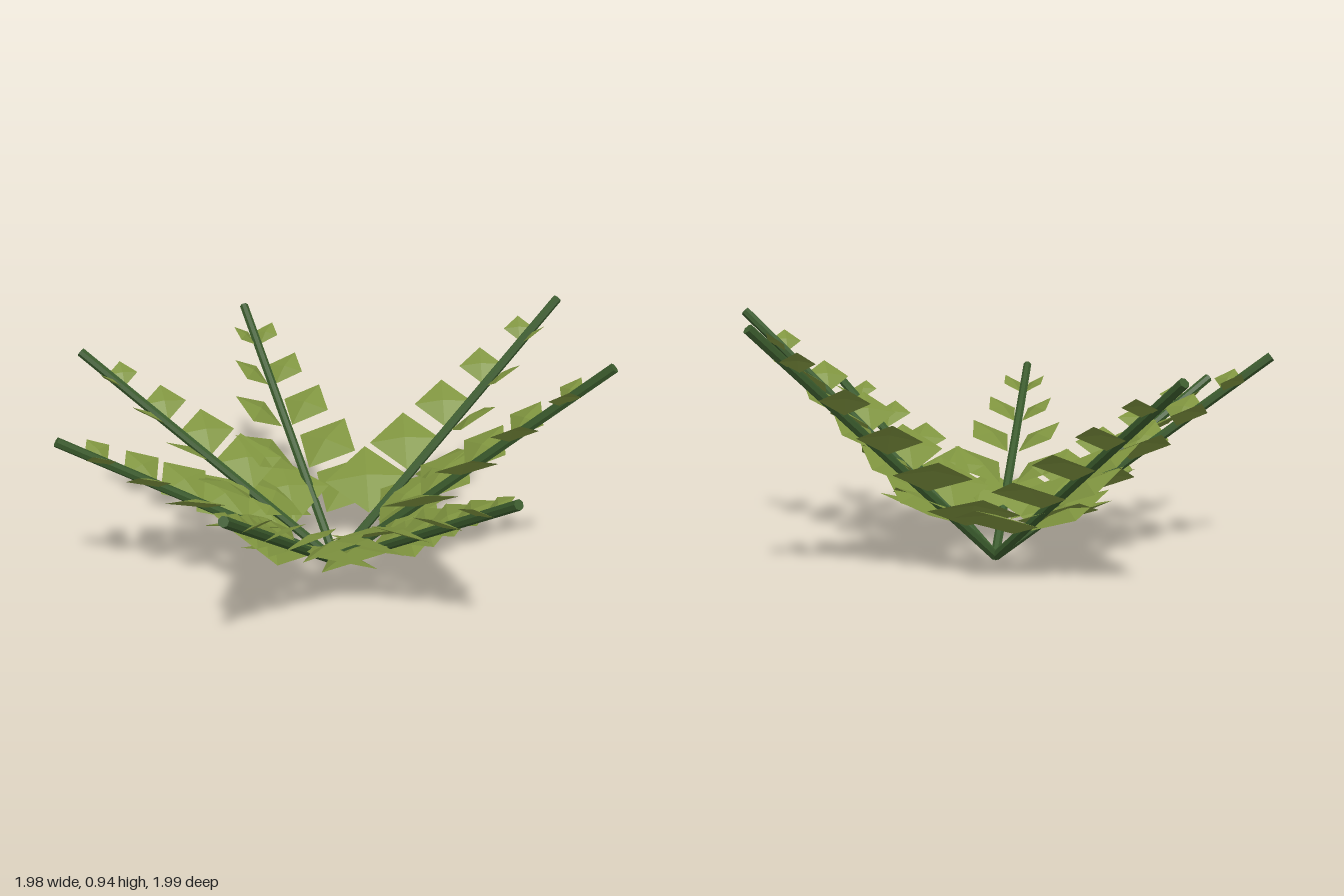
import * as THREE from 'three';

const BASE = new THREE.Vector3(-0.015, 0.015, -0.005);
const STEM_RADIUS = 0.018;
const LEAF_PAIRS = 5;
const LEAF_TILT = 0.55;

// Tip of each frond
const TIPS = [
  [0.16, 0.78, -0.985], [0.98, 0.925, 0.08], [0.515, 0.925, 0.83], [-0.015, 0.635, 0.985],
  [-0.805, 0.635, 0.595], [-0.98, 0.635, -0.268], [-0.685, 0.78, -0.745],
];

// Folded four-sided leaf: base, outer corner, tip, inner corner around a raised centre
function leafGeometry(base, along, across, normal, half) {
  const at = (a, c, n) => base.clone()
    .addScaledVector(along, a * half).addScaledVector(across, c * half).addScaledVector(normal, n * half);
  const rim = [at(0, 0, 0), at(1, 1, 0), at(2, 0, 0), at(1, -1, 0)];
  const centre = at(1, 0, 0.17);
  const points = [];
  rim.forEach((p, i) => points.push(centre, p, rim[(i + 1) % 4]));
  const geometry = new THREE.BufferGeometry().setFromPoints(points);
  geometry.computeVertexNormals();
  return geometry;
}

export function createModel() {
  const stemMaterial = new THREE.MeshStandardMaterial({ color: 0x3a5a2c, flatShading: true });
  stemMaterial.name = 'stem green';
  const leafMaterial = new THREE.MeshStandardMaterial({ color: 0x7f943f, flatShading: true, side: THREE.DoubleSide });
  leafMaterial.name = 'leaf green';

  const model = new THREE.Group();
  model.name = 'fern';

  TIPS.forEach((t) => {
    const frond = new THREE.Group();
    frond.name = 'frond';
    const tip = new THREE.Vector3(...t);
    const u = tip.clone().sub(BASE);
    const length = u.length();
    u.normalize();
    const side = new THREE.Vector3().crossVectors(u, new THREE.Vector3(0, 1, 0)).normalize();
    const up = new THREE.Vector3().crossVectors(side, u);

    // Straight stem
    const stem = new THREE.Mesh(new THREE.CylinderGeometry(STEM_RADIUS, STEM_RADIUS, length, 7), stemMaterial);
    stem.name = 'stem';
    stem.position.copy(BASE).lerp(tip, 0.5);
    stem.quaternion.setFromUnitVectors(new THREE.Vector3(0, 1, 0), u);
    frond.add(stem);

    // Mirrored leaf pairs: smaller, steeper and more raised toward the tip
    for (let i = 1; i <= LEAF_PAIRS; i++) {
      const k = i / (LEAF_PAIRS + 1);
      const size = 0.275 - 0.232 * k;
      const angle = 0.95 - 0.27 * k;
      const lift = 0.06 + 0.22 * k;
      for (const sign of [1, -1]) {
        const s = side.clone().multiplyScalar(sign);
        const along = u.clone().multiplyScalar(Math.cos(angle)).addScaledVector(s, Math.sin(angle))
          .addScaledVector(up, lift).normalize();
        // Outer edge turned up around the leaf's own midline
        const across = s.clone().multiplyScalar(Math.cos(angle)).addScaledVector(u, -Math.sin(angle));
        across.applyAxisAngle(along, -sign * LEAF_TILT);
        const normal = new THREE.Vector3().crossVectors(along, across).multiplyScalar(-sign);
        const base = BASE.clone().addScaledVector(u, k * length).addScaledVector(s, 0.14 * size);
        const leaf = new THREE.Mesh(leafGeometry(base, along, across, normal, size * 0.707), leafMaterial);
        leaf.name = sign > 0 ? 'rightLeaf' : 'leftLeaf';
        frond.add(leaf);
      }
    }
    model.add(frond);
  });
  return model;
}
